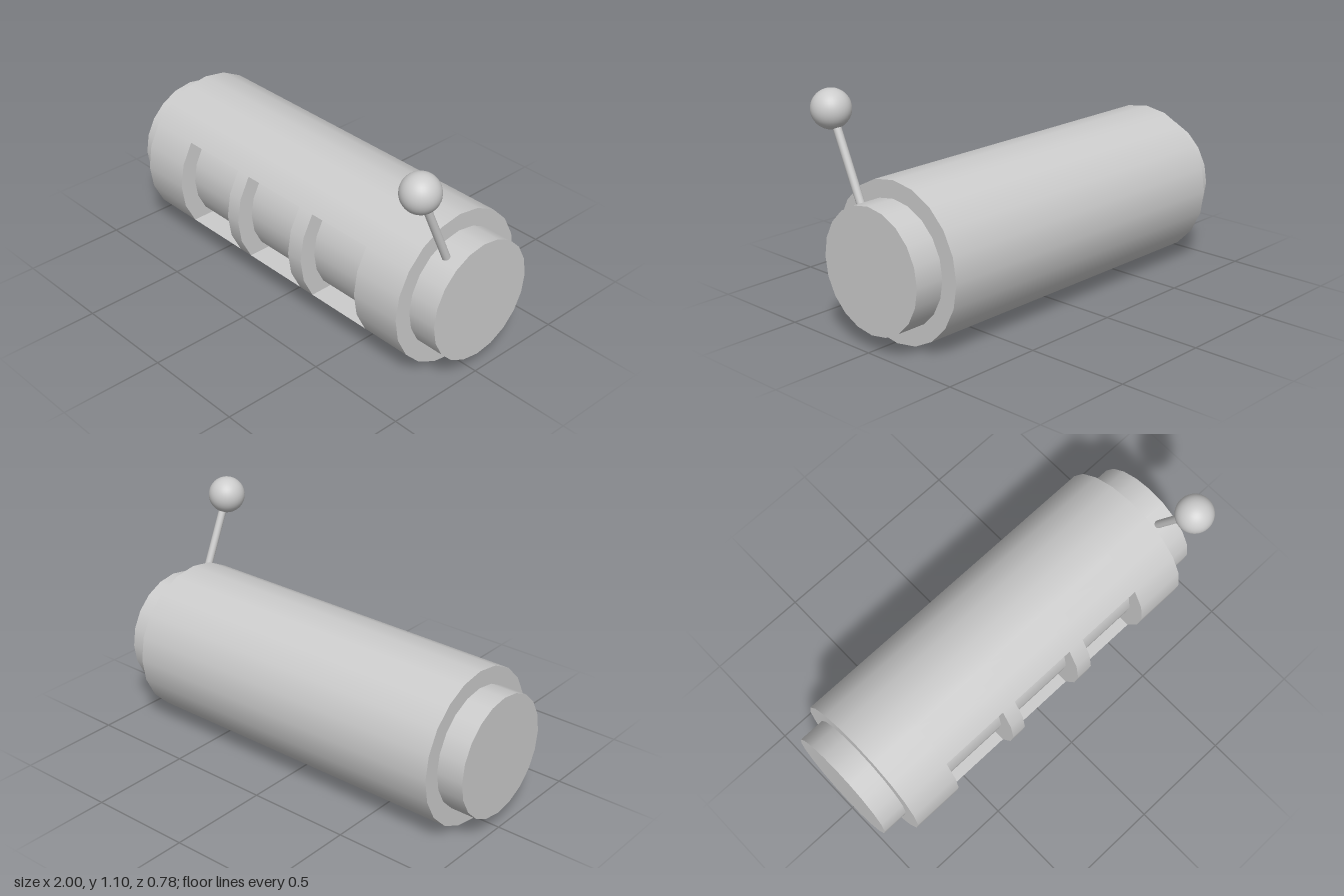
import * as THREE from 'three';

const CY = 0.375, CZ = -0.015; // drum axis
const R = 0.373, CORE_R = 0.29, SIDES = 20;
const HALF = Math.PI / 5; // half opening angle of the windows
const WIN_Y = R * Math.sin(HALF), WIN_Z = R * Math.cos(HALF), INNER_Z = 0.18;
// shell stations along x; odd rows are windows
const STATIONS = [0.845, 0.59, 0.245, 0.16, -0.19, -0.265, -0.615, -0.87];

const grey = new THREE.MeshStandardMaterial({ color: 0xcccccc });
const thin = new THREE.MeshStandardMaterial({ color: 0xcccccc, side: THREE.DoubleSide });

function add(parent, name, geometry, material = grey) {
  const mesh = new THREE.Mesh(geometry, material);
  mesh.name = name;
  parent.add(mesh);
  return mesh;
}

// Tube with the window cells removed
function shellGeometry() {
  const rows = STATIONS.length - 1;
  const g = new THREE.CylinderGeometry(R, R, 1, SIDES, rows, true);
  const pos = g.attributes.position;
  for (let i = 0; i < pos.count; i++) {
    pos.setY(i, STATIONS[Math.floor(i / (SIDES + 1))]);
  }
  const src = g.index.array, kept = [];
  for (let col = 0; col < SIDES; col++) {
    for (let row = 0; row < rows; row++) {
      const front = col < 2 || col >= SIDES - 2;
      if (front && row % 2 === 1) continue;
      const k = (col * rows + row) * 6;
      for (let j = 0; j < 6; j++) kept.push(src[k + j]);
    }
  }
  g.setIndex(kept);
  return g.rotateZ(-Math.PI / 2);
}

// Flat side wall of a window, between the shell and the core
function jambGeometry() {
  const shape = new THREE.Shape();
  shape.moveTo(INNER_Z, -WIN_Y);
  for (let i = -2; i <= 2; i++) {
    const a = (i * HALF) / 2;
    shape.lineTo(R * Math.cos(a), R * Math.sin(a));
  }
  shape.lineTo(INNER_Z, WIN_Y);
  shape.closePath();
  return new THREE.ShapeGeometry(shape).rotateY(-Math.PI / 2);
}

export function createModel() {
  const model = new THREE.Group();
  model.name = 'leverDrum';

  const drum = new THREE.Group();
  drum.name = 'drum';
  drum.position.set(0, CY, CZ);
  model.add(drum);

  // Inner core
  const core = new THREE.CylinderGeometry(CORE_R, CORE_R, 1.99, SIDES).rotateZ(-Math.PI / 2);
  add(drum, 'core', core).position.x = -0.005;

  // Outer shell and its end rings
  add(drum, 'shell', shellGeometry());
  for (const [x, side] of [[STATIONS[0], 1], [STATIONS[7], -1]]) {
    const ring = new THREE.RingGeometry(CORE_R, R, SIDES).rotateY((side * Math.PI) / 2);
    add(drum, 'endRing', ring).position.x = x;
  }

  // Window reveals
  for (let i = 1; i < 7; i += 2) {
    const right = STATIONS[i], left = STATIONS[i + 1];
    for (const x of [left, right]) {
      add(drum, 'windowJamb', jambGeometry(), thin).position.x = x;
    }
    for (const s of [1, -1]) {
      const sill = new THREE.PlaneGeometry(right - left, WIN_Z - INNER_Z).rotateX((s * Math.PI) / 2);
      add(drum, s > 0 ? 'windowHead' : 'windowSill', sill, thin)
        .position.set((left + right) / 2, s * WIN_Y, (WIN_Z + INNER_Z) / 2);
    }
  }

  // Lever with ball knob
  const lever = new THREE.Group();
  lever.name = 'lever';
  model.add(lever);
  const foot = new THREE.Vector3(0.905, 0.56, 0.098);
  const knob = new THREE.Vector3(0.905, 1.016, 0.3);
  const dir = knob.clone().sub(foot);
  const rod = add(lever, 'leverRod', new THREE.CylinderGeometry(0.019, 0.019, dir.length(), 16));
  rod.position.copy(foot).add(knob).multiplyScalar(0.5);
  rod.quaternion.setFromUnitVectors(new THREE.Vector3(0, 1, 0), dir.normalize());
  add(lever, 'leverKnob', new THREE.SphereGeometry(0.09, 32, 20)).position.copy(knob);

  return model;
}
